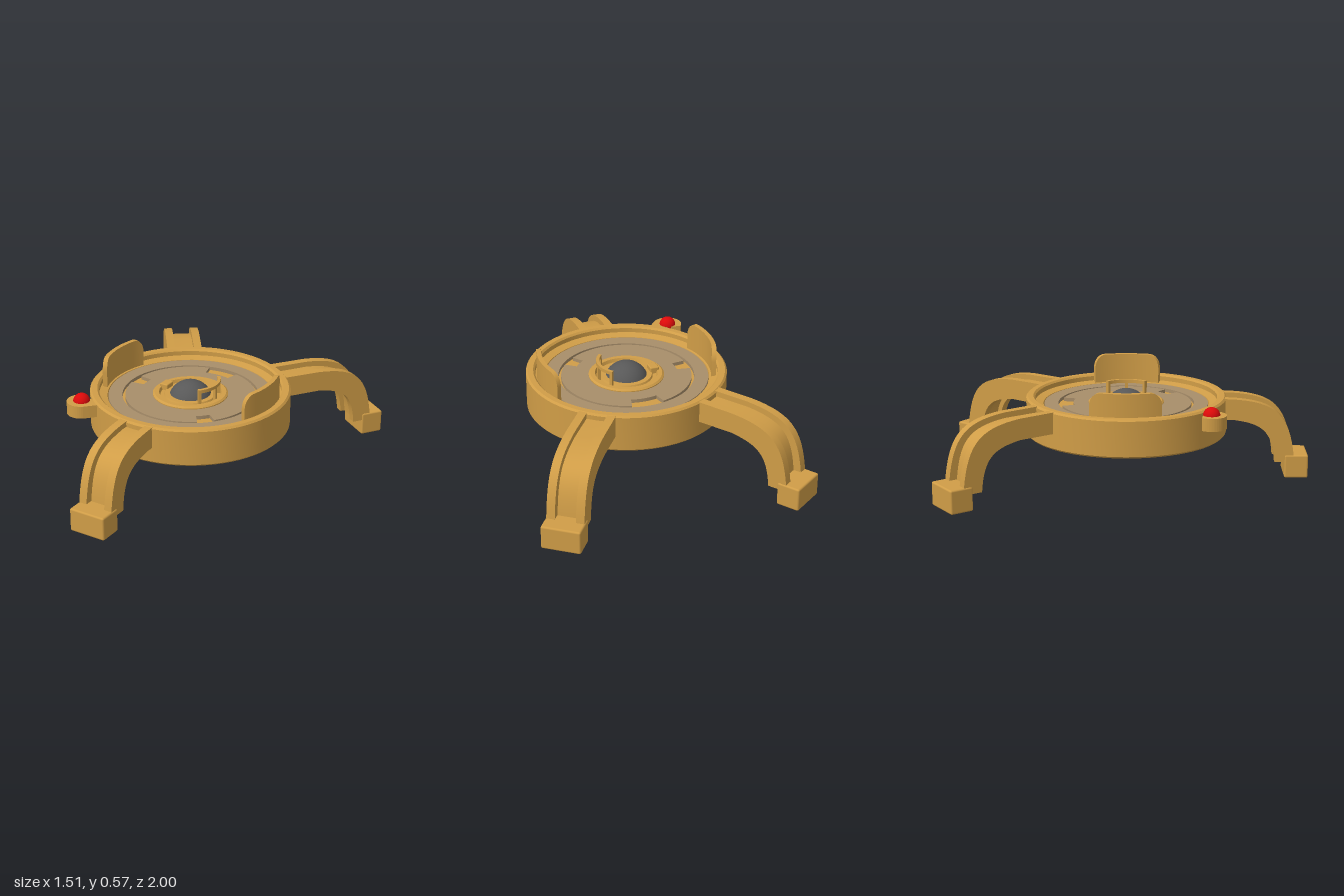
import * as THREE from 'three';
import { toCreasedNormals } from 'three/addons/utils/BufferGeometryUtils.js';
import { RoundedBoxGeometry } from 'three/addons/geometries/RoundedBoxGeometry.js';

const material = (name, color) => {
  const m = new THREE.MeshStandardMaterial({ color });
  m.name = name;
  return m;
};

const add = (parent, name, geometry, mat, x = 0, y = 0, z = 0) => {
  const mesh = new THREE.Mesh(geometry, mat);
  mesh.name = name;
  mesh.position.set(x, y, z);
  parent.add(mesh);
  return mesh;
};

const lathe = (points) => toCreasedNormals(
  new THREE.LatheGeometry(points.map(([r, y]) => new THREE.Vector2(r, y)), 72), 0.5);

const extrude = (shape, depth, curveSegments = 16) => toCreasedNormals(
  new THREE.ExtrudeGeometry(shape, { depth, bevelEnabled: false, curveSegments }), 0.5);

// Flat plate lying on y = 0, rising by its thickness
const plate = (shape, thickness) => extrude(shape, thickness, 72).rotateX(-Math.PI / 2);

// Curved wall around the y axis, centred on +x; top(t) gives its height for t in -1..1
function arcWall(inner, outer, bottom, top, from, to, steps = 24) {
  const pos = [], index = [];
  for (let i = 0; i <= steps; i++) {
    const t = Math.sin((i / steps - 0.5) * Math.PI);
    const a = (from + to) / 2 + t * (to - from) / 2;
    const h = top(t);
    for (const [r, y] of [[inner, bottom], [outer, bottom], [outer, h], [inner, h]])
      pos.push(r * Math.cos(a), y, r * Math.sin(a));
  }
  for (let i = 0; i < steps; i++)
    for (let j = 0; j < 4; j++) {
      const a = i * 4 + j, b = i * 4 + (j + 1) % 4;
      index.push(a, b, b + 4, a, b + 4, a + 4);
    }
  const e = steps * 4;
  index.push(0, 2, 1, 0, 3, 2, e, e + 1, e + 2, e, e + 2, e + 3);
  const g = new THREE.BufferGeometry();
  g.setAttribute('position', new THREE.Float32BufferAttribute(pos, 3));
  g.setIndex(index);
  return toCreasedNormals(g, 0.6);
}

// Side outlines of a leg: x runs outward, s is where it enters the body
function railShape(s) {
  const p = new THREE.Shape();
  p.moveTo(s, 0.33);
  p.lineTo(0.58, 0.33);
  p.bezierCurveTo(0.74, 0.31, 0.80, 0.27, 0.815, 0.09);
  p.lineTo(0.90, 0.09);
  p.lineTo(0.92, 0.13);
  p.bezierCurveTo(0.89, 0.36, 0.82, 0.43, 0.58, 0.445);
  p.lineTo(s, 0.447);
  return p;
}

function webShape(s) {
  const p = new THREE.Shape();
  p.moveTo(s, 0.355);
  p.lineTo(0.58, 0.355);
  p.bezierCurveTo(0.76, 0.335, 0.83, 0.28, 0.84, 0.09);
  p.lineTo(0.88, 0.09);
  p.bezierCurveTo(0.86, 0.34, 0.80, 0.395, 0.58, 0.415);
  p.lineTo(s, 0.415);
  return p;
}

function makeLeg(name, angle, shift, mat) {
  const leg = new THREE.Group();
  leg.name = name;
  leg.rotation.y = angle;
  const s = 0.52 - shift;
  for (const z of [-0.1, 0.055])
    add(leg, 'legRail', extrude(railShape(s), 0.045), mat, shift, 0, z);
  add(leg, 'legWeb', extrude(webShape(s), 0.12), mat, shift, 0, -0.06);
  add(leg, 'foot', new RoundedBoxGeometry(0.13, 0.13, 0.21, 2, 0.01), mat, 0.935 + shift, 0.065, 0);
  return leg;
}

export function createModel() {
  const model = new THREE.Group();
  model.name = 'tripodBase';
  const gold = material('gold', 0xd09d47);
  const tan = material('tan', 0xa88e6a);
  const grey = material('darkGrey', 0x585858);
  const red = material('red', 0xdc0a0a);

  // Round tray, recessed above and below
  add(model, 'body', lathe([
    [0, 0.335], [0.47, 0.335], [0.485, 0.26], [0.50, 0.24], [0.54, 0.24], [0.55, 0.25],
    [0.55, 0.44], [0.54, 0.45], [0.51, 0.45], [0.50, 0.44], [0.50, 0.415], [0.455, 0.405],
    [0.45, 0.385], [0, 0.385],
  ]), gold);

  // Outer tan ring
  const ring = new THREE.Shape().absarc(0, 0, 0.45, 0, Math.PI * 2);
  ring.holes.push(new THREE.Path().absarc(0, 0, 0.373, 0, Math.PI * 2));
  add(model, 'outerPlate', plate(ring, 0.02), tan, 0, 0.385, 0);

  // Inner tan ring with three notches cut in its edge: [angle, half angle, radius]
  const notches = [[-Math.PI / 4, 0.13, 0.29], [Math.PI / 2, 0.25, 0.29], [Math.PI, 0.13, 0.285]];
  const disc = new THREE.Shape();
  notches.forEach(([a, half, r], i) => {
    const next = notches[(i + 1) % 3];
    const end = next[0] - next[1] + (i === 2 ? Math.PI * 2 : 0);
    disc.absarc(0, 0, r, a - half, a + half);
    disc.absarc(0, 0, 0.358, a + half, end);
  });
  disc.closePath();
  disc.holes.push(new THREE.Path().absarc(0, 0, 0.205, 0, Math.PI * 2));
  add(model, 'innerPlate', plate(disc, 0.02), tan, 0, 0.385, 0);

  // Hub around the ball
  add(model, 'hub', lathe([
    [0.207, 0.385], [0.207, 0.41], [0.197, 0.418], [0.172, 0.418], [0.165, 0.40],
    [0.145, 0.40], [0.14, 0.41], [0.11, 0.41],
  ]), gold);
  add(model, 'ball', new THREE.SphereGeometry(0.125, 40, 24), grey, 0, 0.355, 0);
  add(model, 'hubLatch', new RoundedBoxGeometry(0.05, 0.05, 0.065, 2, 0.006), gold, -0.155, 0.41, 0);

  // Curved handle beside the ball on three posts
  add(model, 'handleBar', arcWall(0.148, 0.166, 0.476, 0.495 && (() => 0.495), -0.75, 0.75), gold);
  for (const a of [-0.7, 0, 0.7])
    add(model, 'handlePost', arcWall(0.148, 0.166, 0.39, () => 0.48, a - 0.05, a + 0.05, 4), gold);

  // Upright side guards with rounded upper corners
  const guardTop = (t) => {
    const k = Math.max(0, (Math.abs(t) - 0.68) / 0.32);
    return 0.57 - 0.075 * (1 - Math.sqrt(Math.max(0, 1 - k * k)));
  };
  for (const [name, turn] of [['leftGuard', 0], ['rightGuard', Math.PI]])
    add(model, name, arcWall(0.465, 0.49, 0.39, guardTop, -0.4, 0.4, 32), gold).rotation.y = turn;

  // Tongue with the red button, pointing to the front right
  const tongue = new THREE.Shape();
  tongue.moveTo(0.5, -0.08);
  tongue.absarc(0.61, 0, 0.08, -Math.PI / 2, Math.PI / 2);
  tongue.lineTo(0.5, 0.08);
  add(model, 'buttonHolder', plate(tongue, 0.07), gold, 0, 0.37, 0).rotation.y = -Math.PI * 0.735;
  add(model, 'button', new THREE.SphereGeometry(0.046, 24, 16), red, -0.41, 0.436, 0.45);

  // Three channelled legs
  const spread = 0.62;
  model.add(makeLeg('frontLeg', -Math.PI / 2, 0, gold));
  model.add(makeLeg('backLeftLeg', Math.PI / 2 - spread, 0.16, gold));
  model.add(makeLeg('backRightLeg', Math.PI / 2 + spread, 0.16, gold));
  return model;
}
